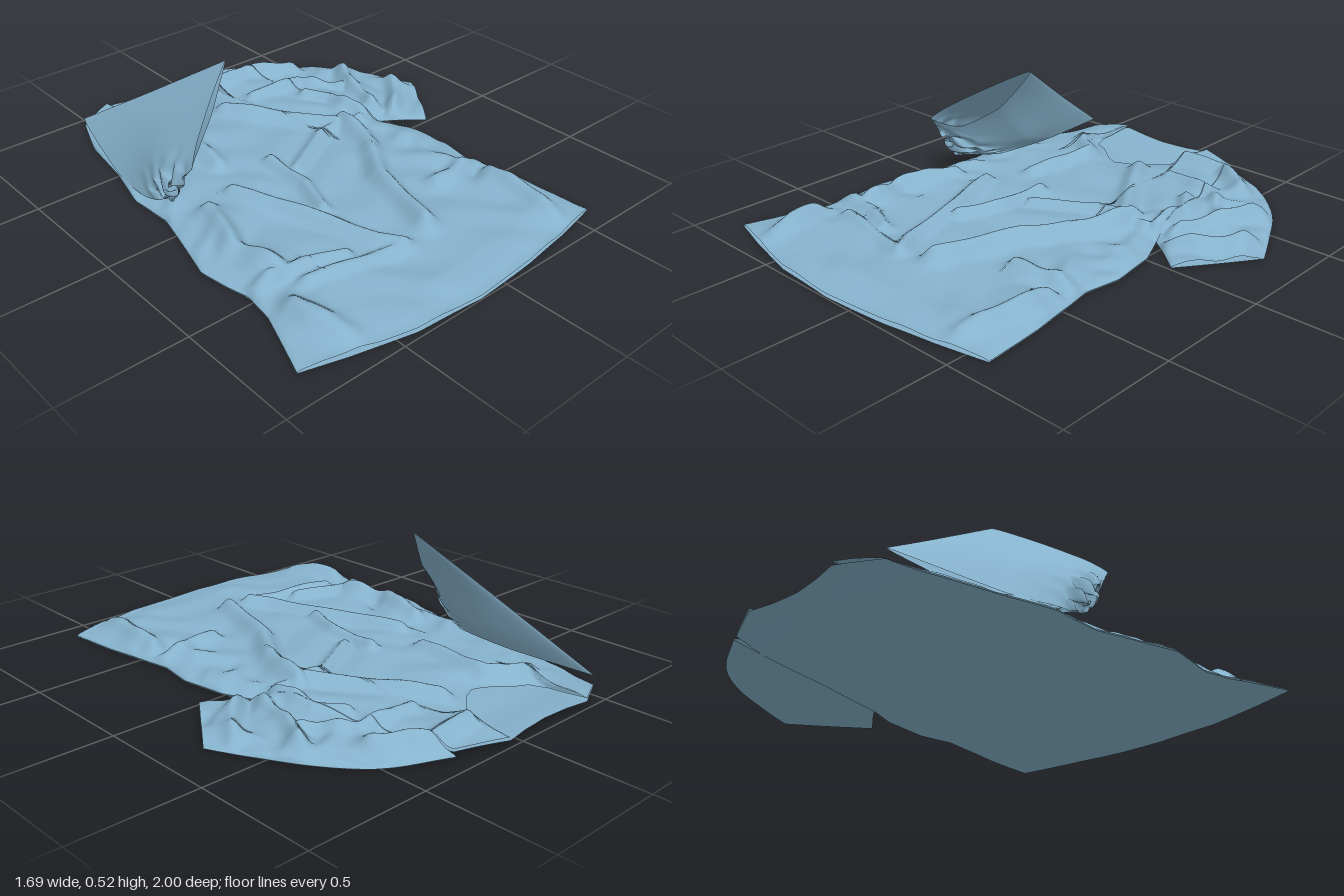
import * as THREE from 'three';

const cloth = new THREE.MeshStandardMaterial({ color: 0x86b2cc, side: THREE.DoubleSide });

// Piecewise-linear lookup through [key, value] pairs
function table(pts, k) {
  if (k <= pts[0][0]) return pts[0][1];
  for (let i = 1; i < pts.length; i++) {
    const [a, va] = pts[i - 1], [b, vb] = pts[i];
    if (k <= b) return va + (vb - va) * (k - a) / (b - a);
  }
  return pts[pts.length - 1][1];
}

// Sheet of cloth: fn(u, v) returns [x, y, z]
function sheet(name, nu, nv, fn, faceDown = false) {
  const pos = [], idx = [];
  for (let j = 0; j <= nv; j++)
    for (let i = 0; i <= nu; i++) pos.push(...fn(i / nu, j / nv));
  for (let j = 0; j < nv; j++)
    for (let i = 0; i < nu; i++) {
      const a = j * (nu + 1) + i, b = a + 1, c = a + nu + 1, d = c + 1;
      if (faceDown) idx.push(a, b, c, b, d, c);
      else idx.push(a, c, b, b, c, d);
    }
  const g = new THREE.BufferGeometry();
  g.setAttribute('position', new THREE.Float32BufferAttribute(pos, 3));
  g.setIndex(idx);
  g.computeVertexNormals();
  const mesh = new THREE.Mesh(g, cloth);
  mesh.name = name;
  return mesh;
}

// Side edges of the body (x by z), shoulder/neck edges and hem (z by u)
const SIDE_R = [[-0.92, -0.54], [-0.75, -0.6], [-0.5, -0.64], [-0.3, -0.69], [-0.1, -0.68], [0.1, -0.73],
  [0.25, -0.77], [0.38, -0.75], [0.47, -0.73], [0.6, -0.75], [0.87, -0.85]];
const SIDE_L = [[-0.92, 0.27], [-0.13, 0.46], [0, 0.52], [0.2, 0.545], [0.35, 0.52], [0.45, 0.54], [0.65, 0.57], [0.9, 0.59]];
const NECK_FRONT = [[0, -0.92], [0.2, -1], [0.21, -0.82], [0.26, -0.75], [0.33, -0.72], [0.42, -0.65], [0.47, -0.63],
  [0.54, -0.66], [0.62, -0.72], [0.7, -0.78], [0.745, -0.84], [0.755, -1], [1, -0.92]];
const NECK_BACK = [[0, -0.92], [0.2, -1], [0.33, -0.98], [0.47, -0.97], [0.62, -0.98], [0.755, -1], [1, -0.92]];
const HEM = [[0, 0.87], [0.12, 0.92], [0.3, 0.98], [0.5, 1], [0.7, 0.975], [0.85, 0.945], [1, 0.9]];

// Creases: [height, width, x, z, x, z, ...]
const CREASES = [
  [0.04, 0.035, -0.4, -0.05, -0.3, 0.22, -0.2, 0.55, -0.15, 0.64],
  [0.04, 0.03, -0.15, -0.12, -0.16, 0.1, -0.22, 0.28],
  [0.06, 0.045, 0.3, -0.18, 0.24, 0.05, 0.1, 0.25, 0.0, 0.6],
  [0.045, 0.04, -0.02, -0.62, 0.1, -0.42, 0.26, -0.18],
  [0.04, 0.04, -0.42, -0.7, -0.28, -0.6, -0.32, -0.25],
  [0.04, 0.03, -0.72, 0.47, -0.5, 0.49, -0.35, 0.55],
  [0.03, 0.03, -0.55, 0.57, -0.15, 0.65],
  [0.035, 0.035, 0.24, 0.42, 0.5, 0.4],
  [0.05, 0.04, -0.55, 0.0, -0.62, 0.25, -0.58, 0.45],
  [0.05, 0.05, -0.68, 0.65, -0.63, 0.88],
  [0.04, 0.04, 0.48, 0.5, 0.43, 0.88],
  [0.045, 0.04, 0.08, -0.82, 0.28, -0.84, 0.45, -0.72],
  [0.035, 0.03, 0.15, -0.62, 0.4, -0.6, 0.52, -0.45],
  [0.04, 0.03, 0.42, -0.18, 0.4, -0.38, 0.34, -0.48],
  [0.04, 0.03, 0.5, -0.18, 0.55, -0.4, 0.64, -0.58],
  [0.035, 0.03, 0.52, -0.1, 0.68, -0.26, 0.76, -0.36],
  [0.035, 0.03, -0.1, -0.02, 0.15, -0.16, 0.38, -0.16]
];

function creaseHeight(x, z) {
  let h = 0;
  for (const [amp, w, ...p] of CREASES) {
    let d2 = 9;
    for (let i = 0; i + 3 < p.length; i += 2) {
      const dx = p[i + 2] - p[i], dz = p[i + 3] - p[i + 1];
      const t = THREE.MathUtils.clamp(((x - p[i]) * dx + (z - p[i + 1]) * dz) / (dx * dx + dz * dz), 0, 1);
      d2 = Math.min(d2, (x - p[i] - t * dx) ** 2 + (z - p[i + 1] - t * dz) ** 2);
    }
    h = Math.max(h, amp * Math.exp(-d2 / (w * w)));
  }
  return h;
}

// Small rumples, stronger towards both sides and the flat sleeve
function rumple(x, z) {
  const a = Math.sin(13 * x + 5 * z + 2 * Math.sin(7 * z));
  const b = Math.sin(23 * z - 9 * x + 2 * Math.sin(11 * x));
  const c = Math.sin(37 * x + 19 * z + 2 * Math.sin(17 * z - 5 * x));
  const side = THREE.MathUtils.smoothstep(Math.abs(x + 0.1), 0.3, 0.6) * THREE.MathUtils.smoothstep(-z, -0.8, -0.4);
  return 0.004 * (a + b) + 0.013 * side * (a * b + 0.6 * c);
}

const topHeight = (x, z) => 0.05 + creaseHeight(x, z) + rumple(x, z);
const bottomHeight = (x, z) => 0.015 + 0.003 * Math.sin(9 * x + 4 * z) * Math.sin(8 * z - 3 * x);
const roll = (d, r = 0.1) => Math.sqrt(Math.min(1, Math.max(0, d) / r));
const frontY = (x, z, e) => THREE.MathUtils.lerp(bottomHeight(x, z) + 0.004, topHeight(x, z), e);

function bodyPoint(u, v, neck) {
  const z = THREE.MathUtils.lerp(table(neck, u), table(HEM, u), v);
  const l = table(SIDE_R, z), r = table(SIDE_L, z);
  return [l + (r - l) * u, z, u * (r - l), (1 - u) * (r - l)];
}

// Flat sleeve outline
const curve = pts => new THREE.CatmullRomCurve3(pts.map(([x, z]) => new THREE.Vector3(x, 0, z)));
const sleeveTop = curve([[0.27, -0.93], [0.5, -0.81], [0.66, -0.64], [0.76, -0.46], [0.84, -0.3]]);
const sleeveUnder = curve([[0.46, -0.13], [0.53, -0.08], [0.63, 0]]);
const sleeveXZ = (s, t) => {
  const a = sleeveTop.getPoint(s), b = sleeveUnder.getPoint(s);
  return [a.x + (b.x - a.x) * t, a.z + (b.z - a.z) * t, a.distanceTo(b)];
};

// Loops of the raised sleeve, from armhole to cuff
const LOOPS = [
  [[-0.54, 0.07, -0.92], [-0.64, 0.03, -0.5], [-0.67, 0.05, -0.25], [-0.63, 0.09, -0.12], [-0.53, 0.08, -0.28], [-0.5, 0.08, -0.55]],
  [[-0.42, 0.30, -0.56], [-0.55, 0.23, -0.38], [-0.65, 0.2, -0.18], [-0.66, 0.16, -0.07], [-0.55, 0.12, -0.18], [-0.46, 0.15, -0.37]],
  [[-0.29, 0.53, -0.21], [-0.44, 0.45, -0.11], [-0.58, 0.36, -0.01], [-0.64, 0.30, 0.04], [-0.56, 0.26, -0.06], [-0.41, 0.36, -0.15]]
].map(l => new THREE.CatmullRomCurve3(l.map(p => new THREE.Vector3(...p)), true, 'catmullrom', 0.3));

function raisedSleevePoint(u, v) {
  const p = new THREE.CatmullRomCurve3(LOOPS.map(l => l.getPoint(u))).getPoint(v);
  // Crumples gather around the armpit
  const k = 0.022 * Math.exp(-(((u - 0.5) / 0.13) ** 2)) * Math.sin(Math.PI * Math.min(1, v + 0.1));
  p.x += k * Math.sin(26 * v + 40 * u);
  p.y += k * Math.sin(31 * v - 24 * u + 1);
  p.z += k * Math.sin(19 * v + 33 * u + 2);
  return p.toArray();
}

export function createModel() {
  const shirt = new THREE.Group();
  shirt.name = 'crumpledShirt';

  // Back panel, lying on the ground and lifted slightly at the collar
  shirt.add(sheet('backPanel', 80, 60, (u, v) => {
    const [x, z] = bodyPoint(u, v, NECK_BACK);
    return [x, bottomHeight(x, z) + 0.025 * THREE.MathUtils.smoothstep(-z, 0.75, 1), z];
  }, true));

  // Front panel with neck opening, rolled down to meet the back at the sides
  shirt.add(sheet('frontPanel', 140, 140, (u, v) => {
    const [x, z, dr, dl] = bodyPoint(u, v, NECK_FRONT);
    const open = THREE.MathUtils.smoothstep(z, -0.25, -0.1);
    const shoulder = Math.max(0.4, roll(z - table(NECK_FRONT, u), 0.12));
    const hem = Math.max(0.45, roll(table(HEM, u) - z, 0.15));
    const e = roll(dr) * THREE.MathUtils.lerp(1, roll(dl), open) * shoulder * hem;
    const collar = 0.02 * THREE.MathUtils.smoothstep(-z, 0.75, 1);
    return [x, frontY(x, z, e) + collar, z];
  }));

  // Sleeve lying flat
  shirt.add(sheet('leftSleeveTop', 70, 80, (s, t) => {
    const [x, z, len] = sleeveXZ(s, t);
    const e = roll(Math.min(t, 1 - t) * len, 0.12) * (1 - 0.4 * THREE.MathUtils.smoothstep(s, 0.85, 1));
    return [x, frontY(x, z, e), z];
  }));
  shirt.add(sheet('leftSleeveUnderside', 24, 24, (s, t) => {
    const [x, z] = sleeveXZ(s, t);
    return [x, bottomHeight(x, z) + 0.003, z];
  }, true));

  // Sleeve standing up, with an open cuff
  shirt.add(sheet('rightSleeve', 96, 48, raisedSleevePoint));

  return shirt;
}
